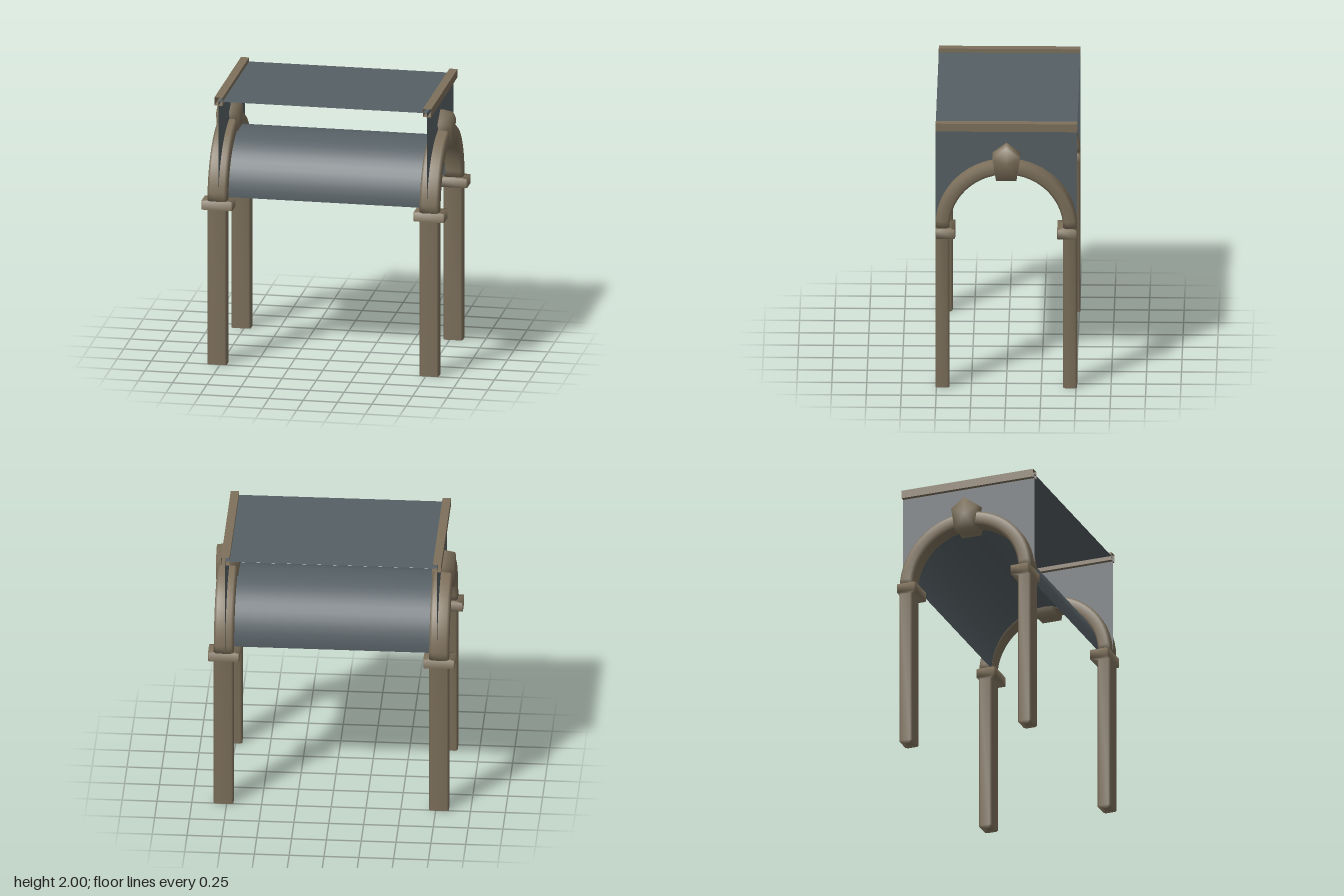
import * as THREE from 'three';

const stone = new THREE.MeshStandardMaterial({ color: 0x7d705b });
stone.name = 'stone';
stone.side = THREE.DoubleSide;
const slate = new THREE.MeshStandardMaterial({ color: 0x566065 });
slate.name = 'slate';
slate.side = THREE.DoubleSide;

const SPRING = 1.22; // height where the arches begin
const COLUMN_X = 0.773;
const WALL_X = 0.76;
const HALF_DEPTH = 0.507;

// Smooth skin over closed rings of points, with both ends capped
function loft(rings) {
  const n = rings[0].length;
  const points = rings.flat();
  const index = [];
  for (let i = 0; i < rings.length - 1; i++) {
    for (let j = 0; j < n; j++) {
      const a = i * n + j, b = i * n + (j + 1) % n;
      index.push(a, b, a + n, b, b + n, a + n);
    }
  }
  const cap = (ring, start, flip) => {
    const centre = ring.reduce((s, p) => s.add(p), new THREE.Vector3()).divideScalar(n);
    const c = points.push(centre) - 1;
    for (let j = 0; j < n; j++) {
      const a = start + j, b = start + (j + 1) % n;
      index.push(c, flip ? b : a, flip ? a : b);
    }
  };
  cap(rings[0], 0, true);
  cap(rings[rings.length - 1], (rings.length - 1) * n, false);
  const g = new THREE.BufferGeometry().setFromPoints(points);
  g.setIndex(index);
  g.computeVertexNormals();
  return g;
}

// Rectangle with cut corners, as [x, z] pairs
function section(w, d, cut) {
  const x = w / 2, z = d / 2;
  return [
    [x, z - cut], [x, -z + cut], [x - cut, -z], [-x + cut, -z],
    [-x, -z + cut], [-x, z - cut], [-x + cut, z], [x - cut, z],
  ];
}

// Pillar and its capital share one skin
function columnGeometry() {
  const ring = (w, d, z0, y, cut) => section(w, d, cut).map(([x, z]) => new THREE.Vector3(x, y, z0 + z));
  return loft([
    ring(0.142, 0.1, 0.457, 0, 0.014),
    ring(0.142, 0.1, 0.457, 1.155, 0.014),
    ring(0.224, 0.142, 0.436, 1.155, 0.008),
    ring(0.224, 0.142, 0.436, SPRING, 0.008),
  ]);
}

// Half-round rib swept from one capital to the other
function archGeometry() {
  const rings = [];
  const steps = 28;
  for (let i = 0; i <= steps; i++) {
    const a = Math.PI * i / steps;
    rings.push(section(0.142, 0.1, 0.02).map(([x, z]) => {
      const r = 0.457 + z;
      return new THREE.Vector3(x, SPRING + r * Math.sin(a), r * Math.cos(a));
    }));
  }
  return loft(rings);
}

// Five-sided keystone, slightly crowned along its middle
function keystoneGeometry() {
  const outline = [[0.1, 1.775], [0.073, 1.59], [-0.073, 1.59], [-0.1, 1.775], [0, 1.85]];
  return loft([[-0.08, 0.015], [0, 0], [0.08, 0.015]].map(([x, drop]) =>
    outline.map(([z, y]) => new THREE.Vector3(x, y > 1.7 ? y - drop : y, z))));
}

// End wall with an arched opening
function wallGeometry() {
  const s = new THREE.Shape();
  s.moveTo(0.45, SPRING);
  s.lineTo(HALF_DEPTH, SPRING);
  s.lineTo(HALF_DEPTH, 1.97);
  s.lineTo(-HALF_DEPTH, 1.97);
  s.lineTo(-HALF_DEPTH, SPRING);
  s.lineTo(-0.45, SPRING);
  s.absarc(0, SPRING, 0.45, Math.PI, 0, true);
  return new THREE.ShapeGeometry(s, 28).rotateY(Math.PI / 2);
}

// Square rail with open ends
function railGeometry() {
  const g = new THREE.CylinderGeometry(0.03 * Math.SQRT2, 0.03 * Math.SQRT2, HALF_DEPTH * 2, 4, 1, true)
    .rotateY(Math.PI / 4).rotateX(Math.PI / 2).toNonIndexed();
  g.computeVertexNormals();
  return g;
}

export function createModel() {
  const model = new THREE.Group();
  model.name = 'vaultedArcade';
  const add = (name, geometry, material, x = 0, y = 0) => {
    const mesh = new THREE.Mesh(geometry, material);
    mesh.name = name;
    mesh.position.set(x, y, 0);
    model.add(mesh);
    return mesh;
  };

  const column = columnGeometry(), arch = archGeometry(), keystone = keystoneGeometry();
  const wall = wallGeometry(), rail = railGeometry();
  for (const [side, label] of [[1, 'left'], [-1, 'right']]) {
    add(label + 'FrontColumn', column, stone, side * COLUMN_X);
    add(label + 'BackColumn', column, stone, side * COLUMN_X).rotation.y = Math.PI;
    add(label + 'Arch', arch, stone, side * COLUMN_X);
    add(label + 'Keystone', keystone, stone, side * 0.775);
    add(label + 'Wall', wall, slate, side * WALL_X);
    add(label + 'RoofRail', rail, stone, side * WALL_X, 1.97);
  }

  // Flat roof sheet and the barrel vault beneath it
  add('roof', new THREE.PlaneGeometry(WALL_X * 2, HALF_DEPTH * 2).rotateX(-Math.PI / 2), slate, 0, 1.97);
  const vault = new THREE.CylinderGeometry(0.41, 0.41, WALL_X * 2, 24, 1, true, 0, Math.PI)
    .rotateZ(Math.PI / 2);
  add('vault', vault, slate, 0, 1.23);
  return model;
}
